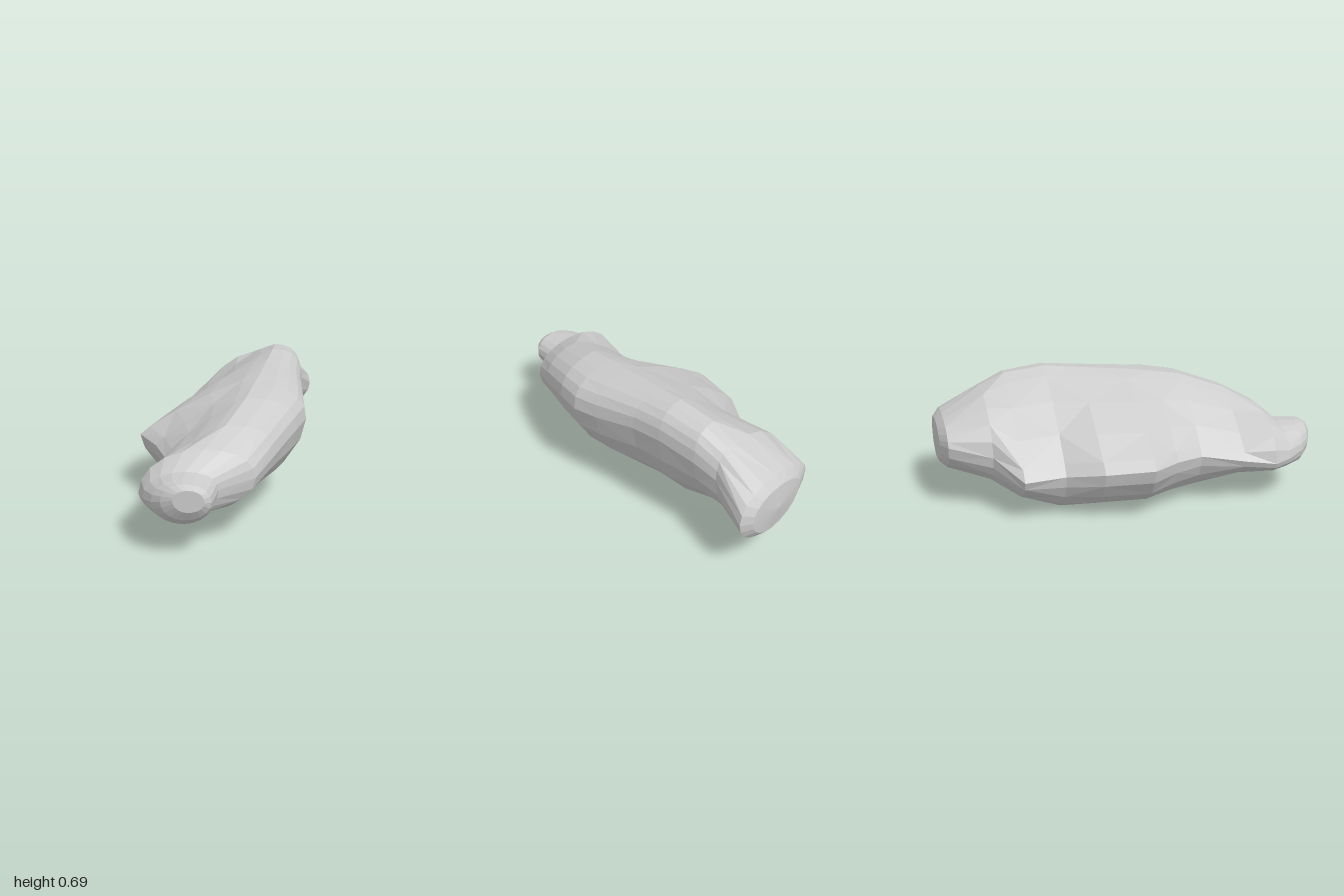
import * as THREE from 'three';

// Each section: z, then the left, top, right and bottom extreme points as x, y
const SECTIONS = [
  [1.0, -0.21, 0.32, -0.14, 0.37, -0.06, 0.31, -0.14, 0.26],
  [0.97, -0.27, 0.3, -0.16, 0.39, -0.03, 0.3, -0.16, 0.21],
  [0.92, -0.32, 0.28, -0.17, 0.395, -0.02, 0.3, -0.17, 0.17],
  [0.83, -0.37, 0.26, -0.16, 0.4, -0.005, 0.31, -0.17, 0.165],
  [0.74, -0.4, 0.25, -0.08, 0.48, 0.17, 0.34, -0.16, 0.155],
  [0.58, -0.37, 0.27, 0.02, 0.555, 0.26, 0.4, -0.12, 0.125],
  [0.35, -0.31, 0.3, 0.11, 0.625, 0.37, 0.46, -0.1, 0.06],
  [0.2, -0.37, 0.31, 0.14, 0.645, 0.42, 0.47, -0.09, 0.035],
  [0.05, -0.47, 0.32, 0.17, 0.66, 0.415, 0.48, -0.08, 0.012],
  [-0.2, -0.41, 0.3, 0.21, 0.68, 0.4, 0.52, -0.07, 0.01],
  [-0.38, -0.29, 0.26, 0.24, 0.695, 0.405, 0.53, -0.05, 0],
  [-0.6, -0.31, 0.26, 0.25, 0.67, 0.4, 0.5, 0.0, 0.08],
  [-0.73, -0.13, 0.34, 0.26, 0.61, 0.385, 0.45, 0.1, 0.145],
  [-0.95, -0.055, 0.39, 0.2, 0.49, 0.47, 0.34, 0.27, 0.19],
  [-0.985, 0.04, 0.375, 0.21, 0.45, 0.41, 0.335, 0.26, 0.22],
];
const TIPS = [1.0, -1.0]; // z of the front and back end points
const STEPS = 5; // facets per quarter
const SIDES = STEPS * 4;
// Per quarter from upper right: 1 is round, 2 is straight, below 1 is boxier
const BODY = [0.8, 1.7, 1.2, 1.15];
const ENDS = [0.9, 1, 1, 1];

// Four quarter arcs joining right, top, left and bottom
function ring([z, lx, ly, tx, ty, rx, ry, bx, by]) {
  const fullness = Math.abs(z) < 0.7 ? BODY : ENDS;
  const quarters = [[rx, ry, tx, ty], [lx, ly, tx, ty], [lx, ly, bx, by], [rx, ry, bx, by]];
  const points = [];
  quarters.forEach(([sx, sy, ex, ey], q) => {
    for (let k = 0; k < STEPS; k++) {
      const t = ((q % 2 ? STEPS - k : k) / STEPS) * Math.PI / 2;
      const c = Math.max(0, Math.cos(t)) ** fullness[q];
      const s = Math.sin(t) ** fullness[q];
      points.push(ex + (sx - ex) * c, sy + (ey - sy) * s, z);
    }
  });
  return points;
}

export function createModel() {
  const group = new THREE.Group();
  group.name = 'facetedBoulder';

  // Lofted skin from the front nub to the blunt back end
  const positions = SECTIONS.flatMap(ring);
  const index = [];
  for (let i = 0; i < SECTIONS.length - 1; i++) {
    for (let j = 0; j < SIDES; j++) {
      const n = (j + 1) % SIDES;
      const a = i * SIDES + j, b = i * SIDES + n;
      const c = a + SIDES, d = b + SIDES;
      if ((i + j) % 2) index.push(a, c, b, b, c, d);
      else index.push(a, d, b, a, c, d);
    }
  }

  // Shallow fans closing both ends
  [0, SECTIONS.length - 1].forEach((i, end) => {
    const [, lx, , , ty, rx, , , by] = SECTIONS[i];
    const centre = positions.length / 3;
    positions.push((lx + rx) / 2, (ty + by) / 2, TIPS[end]);
    for (let j = 0; j < SIDES; j++) {
      const a = i * SIDES + j, b = i * SIDES + (j + 1) % SIDES;
      if (end === 0) index.push(centre, a, b);
      else index.push(centre, b, a);
    }
  });

  const geometry = new THREE.BufferGeometry();
  geometry.setAttribute('position', new THREE.Float32BufferAttribute(positions, 3));
  geometry.setIndex(index);
  geometry.computeVertexNormals();
  const body = new THREE.Mesh(geometry, new THREE.MeshStandardMaterial({ color: 0xcccccc, flatShading: true }));
  body.name = 'body';
  group.add(body);
  return group;
}
